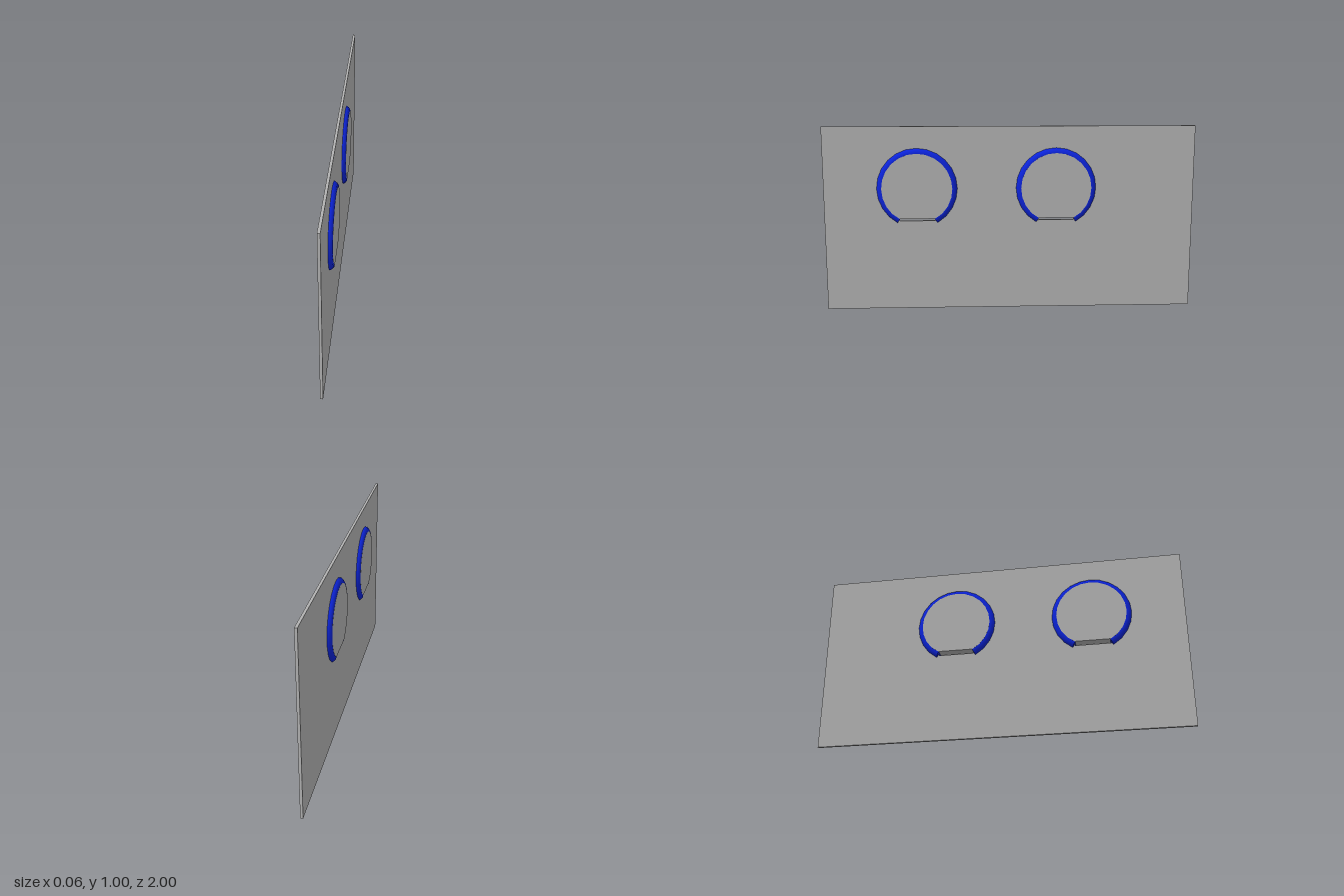
import * as THREE from 'three';

const RING_Y = 0.667, RING_R = 0.19, TUBE_R = 0.028;
const RING_Z = [0.5, -0.25];
const PANEL_T = 0.014, PAD_T = 0.057;
const SLOT_LOW = 0.49, SLOT_TOP = 0.505, SLOT_HALF = 0.097;
const START = -Math.PI / 3, ARC = Math.PI * 5 / 3, SEGMENTS = 20;

// Extrude a side-on outline so that it is centred on its own plane
function slab(shape, depth) {
  const g = new THREE.ExtrudeGeometry(shape, { depth, bevelEnabled: false, curveSegments: SEGMENTS });
  return g.translate(0, 0, -depth / 2);
}

export function createModel() {
  const grey = new THREE.MeshStandardMaterial({ color: 0xb2b2b2 });
  grey.name = 'panel grey';
  const blue = new THREE.MeshStandardMaterial({ color: 0x0c24dc, side: THREE.DoubleSide });
  blue.name = 'ring blue';

  const model = new THREE.Group();
  model.name = 'panelWithRings';
  // Parts are drawn side on, then turned so that drawing x runs along z
  model.rotation.y = -Math.PI / 2;

  // Upright panel with a narrow slot below each pad
  const outline = new THREE.Shape([[-1, 0], [1, 0], [1, 1], [-1, 1]].map(p => new THREE.Vector2(...p)));
  for (const z of RING_Z) {
    outline.holes.push(new THREE.Path([
      [z - SLOT_HALF, SLOT_LOW], [z - SLOT_HALF, SLOT_TOP],
      [z + SLOT_HALF, SLOT_TOP], [z + SLOT_HALF, SLOT_LOW],
    ].map(p => new THREE.Vector2(...p))));
  }
  const panel = new THREE.Mesh(slab(outline, PANEL_T), grey);
  panel.name = 'panel';
  model.add(panel);

  // Raised round pad with a flat bottom
  const padPoints = [];
  for (let i = 0; i <= SEGMENTS; i++) {
    const a = START + ARC * i / SEGMENTS;
    padPoints.push(new THREE.Vector2(
      RING_R * Math.cos(a), Math.max(RING_R * Math.sin(a), SLOT_TOP - RING_Y)));
  }
  const padGeometry = slab(new THREE.Shape(padPoints), PAD_T);

  // Open ring rounding off the rim of the pad
  const ringGeometry = new THREE.TorusGeometry(RING_R, TUBE_R, 16, SEGMENTS, ARC).rotateZ(START);
  const capGeometry = new THREE.CircleGeometry(TUBE_R, 16).rotateX(Math.PI / 2);

  for (const z of RING_Z) {
    const unit = new THREE.Group();
    unit.name = z > 0 ? 'frontRoundel' : 'backRoundel';
    unit.position.set(z, RING_Y, 0);
    const pad = new THREE.Mesh(padGeometry, grey);
    pad.name = 'pad';
    const ring = new THREE.Mesh(ringGeometry, blue);
    ring.name = 'ring';
    unit.add(pad, ring);
    for (const a of [START, START + ARC]) {
      const cap = new THREE.Mesh(capGeometry, blue);
      cap.name = 'ringEnd';
      cap.position.set(RING_R * Math.cos(a), RING_R * Math.sin(a), 0);
      cap.rotation.z = a;
      unit.add(cap);
    }
    model.add(unit);
  }

  const root = new THREE.Group();
  root.name = 'model';
  root.add(model);
  return root;
}
